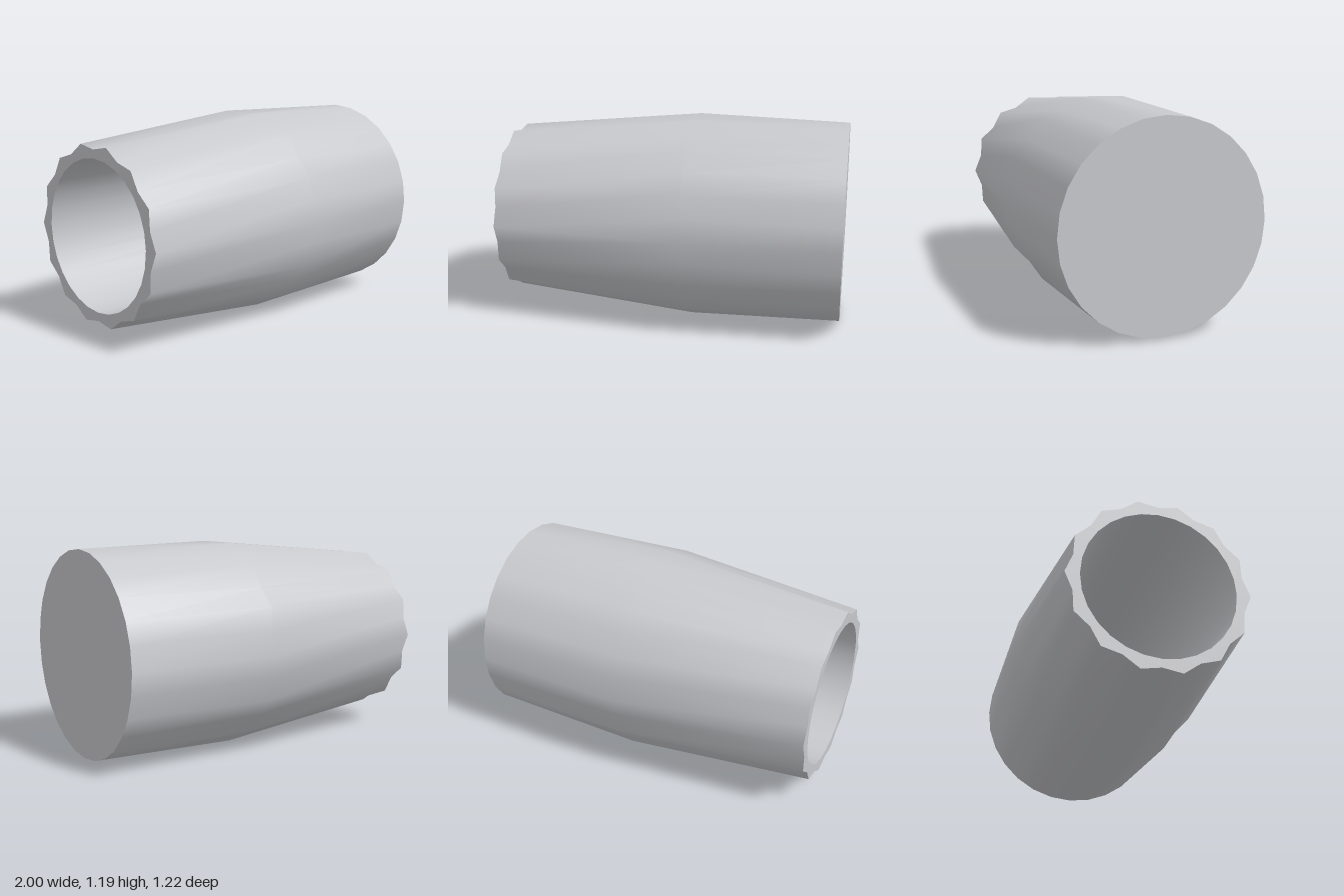
import * as THREE from 'three';

const SIDES = 28;      // 14 ridges alternating with 14 grooves
const AXIS_Y = 0.595;  // height of the horizontal axis

// Joins rings around the x axis; each ring is [x, ridge radius, groove radius].
function loft(rings) {
  const pos = [], index = [];
  rings.forEach(([x, ridge, groove = ridge]) => {
    for (let j = 0; j < SIDES; j++) {
      const a = (j / SIDES) * Math.PI * 2;
      const r = j % 2 ? groove : ridge;
      pos.push(x, AXIS_Y + r * Math.sin(a), r * Math.cos(a));
    }
  });
  for (let i = 0; i < rings.length - 1; i++) {
    for (let j = 0; j < SIDES; j++) {
      const k = (j + 1) % SIDES;
      const a = i * SIDES + j, b = a + SIDES;
      const c = (i + 1) * SIDES + k, d = i * SIDES + k;
      index.push(a, b, c, a, c, d);
    }
  }
  const geo = new THREE.BufferGeometry();
  geo.setAttribute('position', new THREE.Float32BufferAttribute(pos, 3));
  geo.setIndex(index);
  geo.computeVertexNormals();
  return geo;
}

export function createModel() {
  const group = new THREE.Group();
  group.name = 'cap';
  const grey = new THREE.MeshStandardMaterial({ color: 0xc8c9cd });
  grey.name = 'light grey';

  const open = [-1, 0.505, 0.473];
  const end = [1, 0.585, 0.585];
  const bore = 0.425, floorX = 0.9;

  // Separate meshes keep the edges between the parts sharp
  const parts = {
    ridgedWall: [open, [0.11, 0.61, 0.584], end],
    closedEnd: [end, [1, 0]],
    boreFloor: [[floorX, 0], [floorX, bore]],
    boreWall: [[floorX, bore], [-1, bore]],
    openRim: [[-1, bore], open],
  };
  for (const [name, rings] of Object.entries(parts)) {
    const mesh = new THREE.Mesh(loft(rings), grey);
    mesh.name = name;
    group.add(mesh);
  }
  return group;
}
